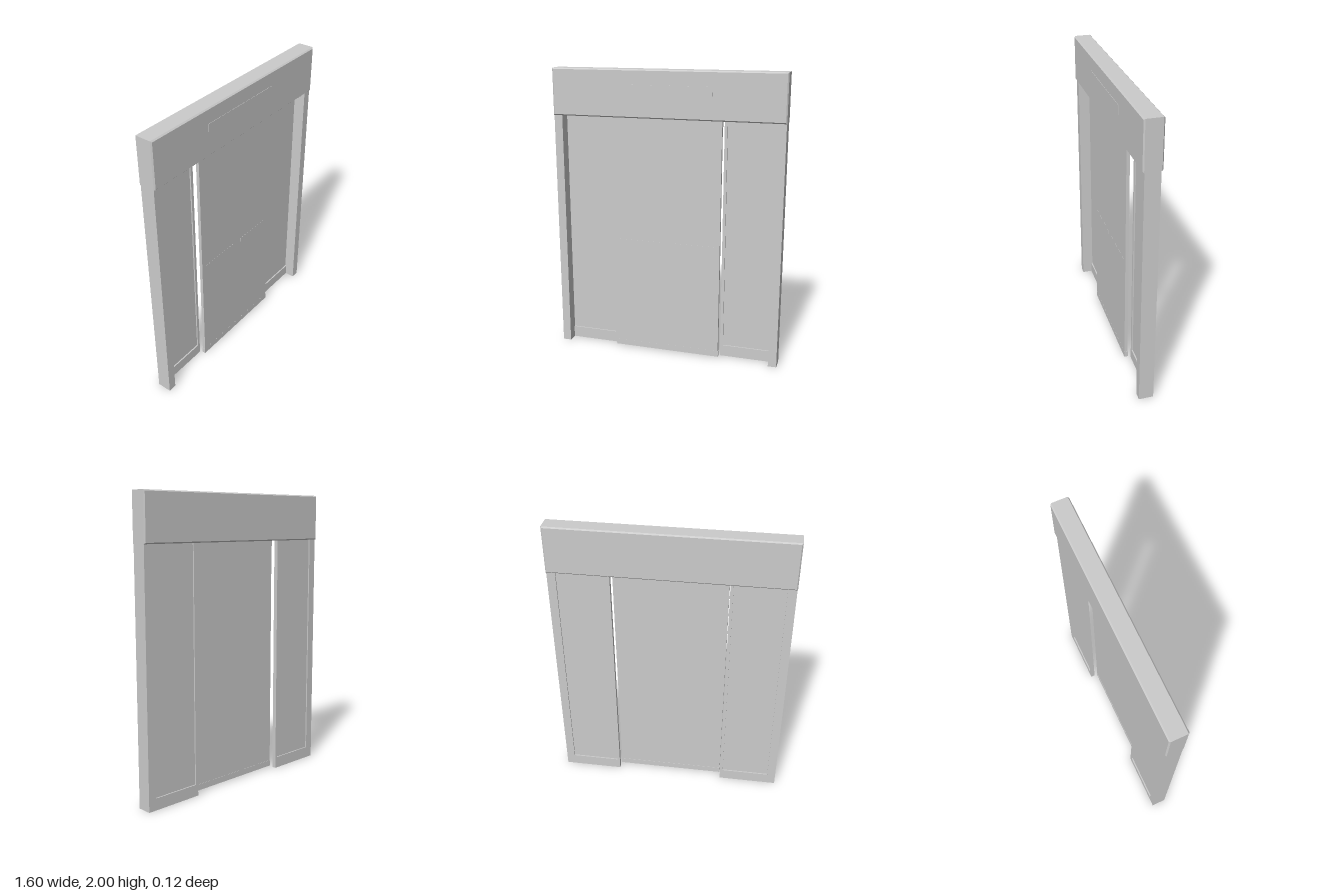
import * as THREE from 'three';

const grey = new THREE.MeshStandardMaterial({ color: 0xcccccc });
grey.name = 'plain grey';

// Box given by its limits on each axis
function box(parent, name, [x0, x1], [y0, y1], [z0, z1]) {
  const mesh = new THREE.Mesh(new THREE.BoxGeometry(x1 - x0, y1 - y0, z1 - z0), grey);
  mesh.position.set((x0 + x1) / 2, (y0 + y1) / 2, (z0 + z1) / 2);
  mesh.name = name;
  parent.add(mesh);
  return mesh;
}

// Same box on side s (+1 left, -1 right)
function sideBox(parent, name, s, [x0, x1], y, z) {
  return box(parent, name, s > 0 ? [x0, x1] : [-x1, -x0], y, z);
}

// Header casing with chamfered edges
function header() {
  const w = 0.8, h = 0.16, d = 0.061, b = 0.008;
  const shape = new THREE.Shape([
    new THREE.Vector2(-w + b, -h + b), new THREE.Vector2(w - b, -h + b),
    new THREE.Vector2(w - b, h - b), new THREE.Vector2(-w + b, h - b),
  ]);
  const geo = new THREE.ExtrudeGeometry(shape, {
    depth: 2 * (d - b), bevelSize: b, bevelThickness: b, bevelSegments: 1,
  });
  geo.translate(0, 0, -(d - b));
  const mesh = new THREE.Mesh(geo, grey);
  mesh.position.set(0, 1.84, -0.001);
  mesh.name = 'headerCasing';
  return mesh;
}

export function createModel() {
  const model = new THREE.Group();
  model.name = 'slidingDoor';
  const top = 1.69;

  model.add(header());
  box(model, 'headerPlate', [-0.32, 0.32], [1.78, 1.9], [0.059, 0.062]);

  for (const s of [1, -1]) {
    const side = s > 0 ? 'left' : 'right';

    // Fixed side panel with its post, set towards the back
    const panel = new THREE.Group();
    panel.name = side + 'FixedPanel';
    const back = [-0.05, -0.02];
    sideBox(panel, 'post', s, [0.74, 0.798], [0, top], [-0.05, 0.05]);
    sideBox(panel, 'innerStile', s, [0.385, 0.405], [0, top], back);
    sideBox(panel, 'bottomRail', s, [0.405, 0.74], [0, 0.08], back);
    sideBox(panel, 'pane', s, [0.405, 0.74], [0.08, top], [-0.041, -0.029]);
    model.add(panel);

    // Sliding leaf, running in front of the fixed panel
    const leaf = new THREE.Group();
    leaf.name = side + 'SlidingLeaf';
    const front = [0, 0.025];
    sideBox(leaf, 'bottomRail', s, [0, 0.38], [0.008, 0.05], front);
    sideBox(leaf, 'topRail', s, [0, 0.38], [1.64, top], front);
    sideBox(leaf, 'pane', s, [0, 0.378], [0.05, 1.64], [0.002, 0.0245]);
    sideBox(leaf, 'safetyStripe', s, [0.04, 0.34], [0.79, 0.82], [0.024, 0.0255]);
    model.add(leaf);
  }
  return model;
}
